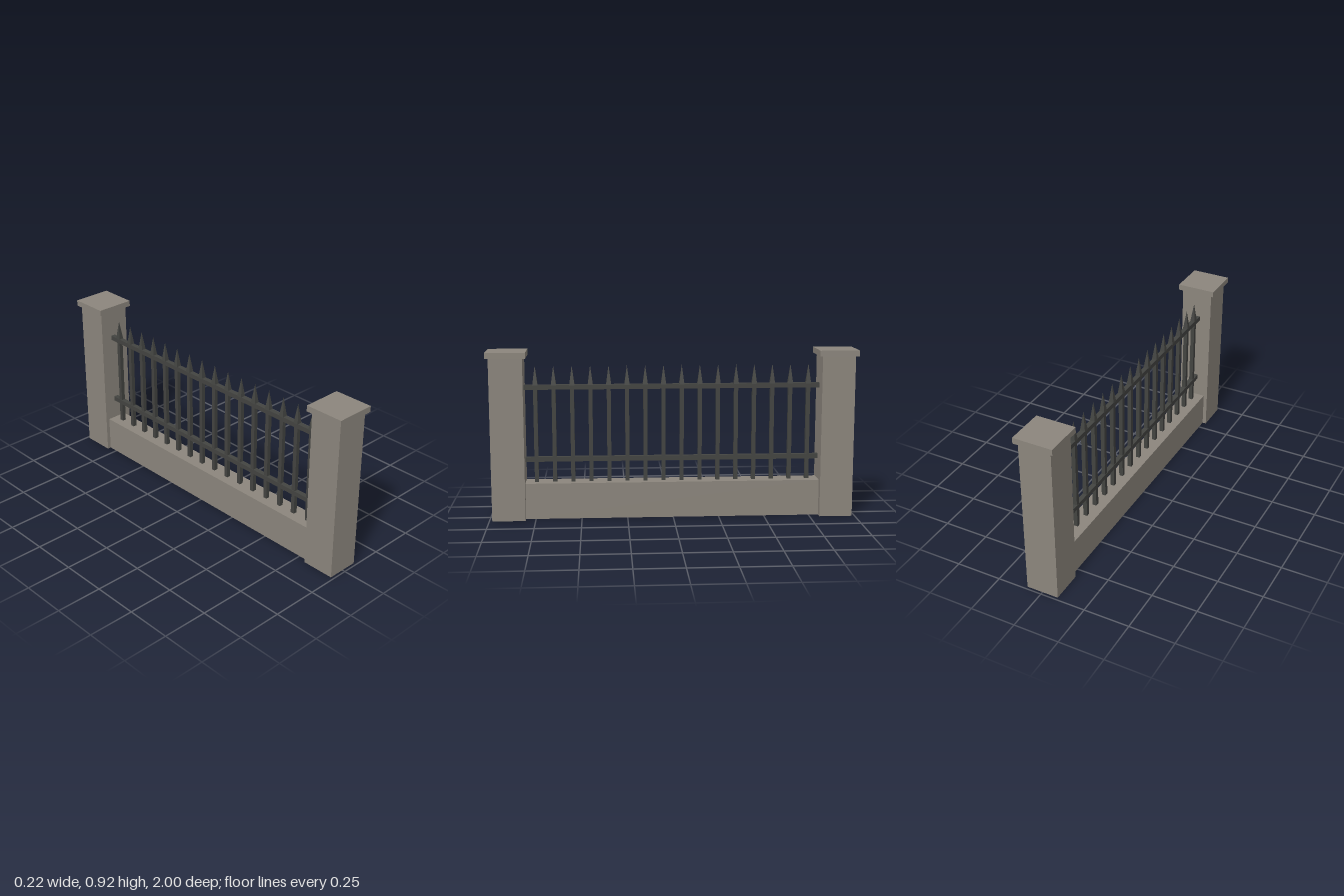
import * as THREE from 'three';

export function createModel() {
  const model = new THREE.Group();
  const stone = new THREE.MeshStandardMaterial({ color: 0x8c867d });
  stone.name = 'stone';
  const iron = new THREE.MeshStandardMaterial({ color: 0x434441 });
  iron.name = 'iron';

  const box = (parent, name, material, w, h, d, x, bottom, z) => {
    const mesh = new THREE.Mesh(new THREE.BoxGeometry(w, h, d), material);
    mesh.name = name;
    mesh.position.set(x, bottom + h / 2, z);
    parent.add(mesh);
  };

  // Stone pillars with overhanging caps at both ends
  for (const side of [1, -1]) {
    const pillar = new THREE.Group();
    pillar.name = side > 0 ? 'frontPillar' : 'backPillar';
    box(pillar, 'pillarShaft', stone, 0.178, 0.885, 0.18, 0, 0, side * 0.894);
    box(pillar, 'pillarCap', stone, 0.216, 0.032, 0.214, 0, 0.885, side * 0.893);
    model.add(pillar);
  }

  // Low wall between the pillars, set slightly off centre
  const axisX = -0.01;
  box(model, 'lowWall', stone, 0.116, 0.197, 1.608, axisX, 0, 0);

  // Horizontal rails
  const railing = new THREE.Group();
  railing.name = 'railing';
  for (const y of [0.309, 0.705]) {
    box(railing, 'rail', iron, 0.026, 0.026, 1.608, axisX, y, 0);
  }

  // Upright bars, each with a four-sided spike
  const count = 16;
  const spikeGeometry = new THREE.ConeGeometry(0.0205, 0.108, 4, 1).toNonIndexed();
  spikeGeometry.rotateY(Math.PI / 4);
  spikeGeometry.computeVertexNormals();
  for (let i = 0; i < count; i++) {
    const z = 0.744 - (i * 1.488) / (count - 1);
    box(railing, 'bar', iron, 0.022, 0.54, 0.022, axisX, 0.19, z);
    const spike = new THREE.Mesh(spikeGeometry, iron);
    spike.name = 'spike';
    spike.position.set(axisX, 0.782, z);
    railing.add(spike);
  }
  model.add(railing);
  return model;
}
